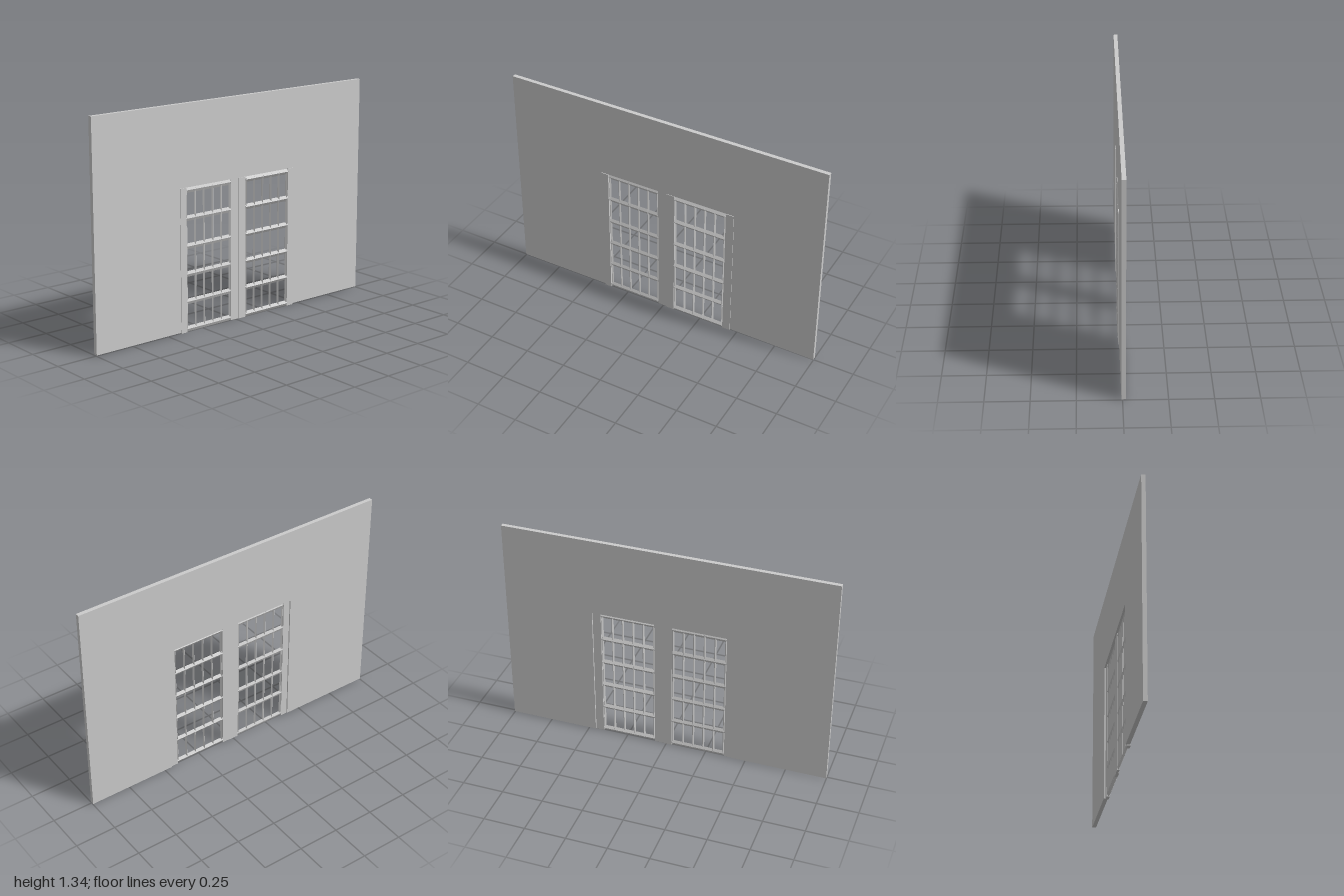
import * as THREE from 'three';

const material = new THREE.MeshStandardMaterial({ color: 0xcccccc, flatShading: true });

function add(parent, name, geometry, x = 0, y = 0, z = 0) {
  const mesh = new THREE.Mesh(geometry, material);
  mesh.name = name;
  mesh.position.set(x, y, z);
  parent.add(mesh);
  return mesh;
}

// Diamond-section bar: depth along x, width across, length along z (or y if upright)
function bar(depth, width, length, upright) {
  const g = new THREE.CylinderGeometry(1, 1, length, 4);
  g.scale(depth / 2, 1, width / 2);
  if (upright) return g;
  return g.rotateX(Math.PI / 2);
}

// One glazed leaf: two flat stiles and a grid of faceted bars
function createLeaf(name, o) {
  const leaf = new THREE.Group();
  leaf.name = name;
  const top = 0.855, rows = 5, columns = 5;
  const stile = (n, z0, z1, front) => add(leaf, n,
    new THREE.BoxGeometry(front - o.back, top, z1 - z0), (front + o.back) / 2, top / 2, (z0 + z1) / 2);
  stile('rearStile', o.min, o.glassMin, o.rearFront);
  stile('frontStile', o.glassMax, o.max, o.frontFront);

  const span = o.glassMax - o.glassMin, mid = (o.glassMin + o.glassMax) / 2;
  const depth = o.ridge - o.back, cx = (o.ridge + o.back) / 2;
  for (let i = 0; i <= rows; i++) {
    add(leaf, 'crossBar', bar(depth, 0.034, span, false), cx, 0.017 + (i / rows) * (top - 0.034), mid);
  }
  for (let i = 0; i <= columns; i++) {
    const z = o.glassMin + 0.006 + (i / columns) * (span - 0.012);
    add(leaf, 'uprightBar', bar(depth * 0.85, 0.014, top - 0.02, true), cx, top / 2, z);
  }
  return leaf;
}

export function createModel() {
  const model = new THREE.Group();
  model.name = 'wallWithDoors';

  // Wall outline notched around the doorway
  const outline = [[-1, 0.005], [-0.455, 0.005], [-0.455, 0.855], [0.41, 0.855],
    [0.41, 0.005], [1, 0.005], [1, 1.335], [-1, 1.335]];
  const shape = new THREE.Shape(outline.map(([z, y]) => new THREE.Vector2(z, y)));
  const wall = new THREE.ExtrudeGeometry(shape, { depth: 0.024, bevelEnabled: false });
  wall.rotateY(-Math.PI / 2);
  add(model, 'wall', wall, 0.006);

  // Pair of leaves, the rear one standing slightly proud
  model.add(createLeaf('frontLeaf', {
    min: -0.018, max: 0.41, glassMin: 0.035, glassMax: 0.367,
    back: -0.01, ridge: 0.006, rearFront: 0.004, frontFront: 0.01,
  }));
  model.add(createLeaf('rearLeaf', {
    min: -0.455, max: -0.018, glassMin: -0.405, glassMax: -0.073,
    back: -0.008, ridge: 0.014, rearFront: 0.01, frontFront: 0.009,
  }));
  return model;
}
